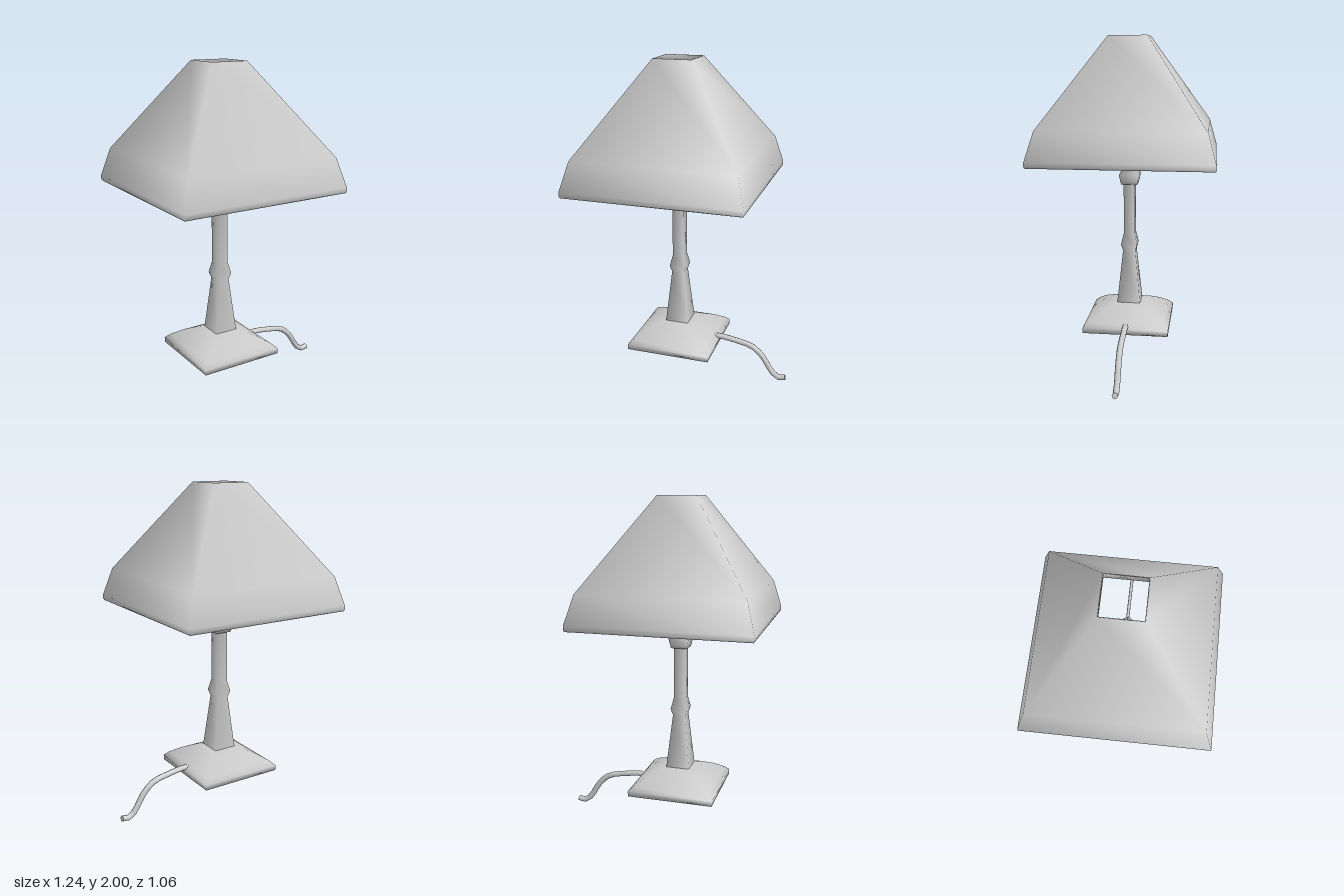
import * as THREE from 'three';

const material = new THREE.MeshStandardMaterial({ color: 0xcccccc });

// Square-section turned part; profile is a list of [half width, height]
function squareLoft(name, profile) {
  const points = profile.map(([w, y]) => new THREE.Vector2(w * Math.SQRT2, y));
  const mesh = new THREE.Mesh(new THREE.LatheGeometry(points, 4, Math.PI / 4), material);
  mesh.name = name;
  return mesh;
}

export function createModel() {
  const model = new THREE.Group();
  model.name = 'tableLamp';

  const lamp = new THREE.Group();
  lamp.name = 'lamp';
  lamp.position.x = -0.092;
  model.add(lamp);

  // Domed square foot
  lamp.add(squareLoft('base', [
    [0, 0.205], [0.262, 0.205], [0.263, 0.238], [0.235, 0.265],
    [0.18, 0.302], [0.12, 0.331], [0.073, 0.346], [0, 0.348],
  ]));

  // Tapered stem with two collars
  lamp.add(squareLoft('stem', [
    [0.073, 0.34], [0.039, 0.68], [0.051, 0.72], [0.035, 0.79], [0.035, 1.1],
    [0.05, 1.104], [0.053, 1.12], [0.062, 1.163], [0.043, 1.2], [0.04, 1.34], [0, 1.34],
  ]));

  // Hollow bulb, twisted as it rises
  const bulb = squareLoft('bulb', [
    [0.03, 1.33], [0.035, 1.4], [0.052, 1.46], [0.058, 1.53], [0.053, 1.59], [0.044, 1.63],
    [0.034, 1.63], [0.035, 1.56], [0, 1.46],
  ]);
  const position = bulb.geometry.attributes.position;
  const v = new THREE.Vector3();
  const up = new THREE.Vector3(0, 1, 0);
  for (let i = 0; i < position.count; i++) {
    v.fromBufferAttribute(position, i);
    v.applyAxisAngle(up, Math.max(0, v.y - 1.46) * 3);
    position.setXYZ(i, v.x, v.y, v.z);
  }
  bulb.geometry.computeVertexNormals();
  lamp.add(bulb);

  // Hollow shade: outside going up, a short upright lip, inside coming back down
  lamp.add(squareLoft('shade', [
    [0.515, 1.268], [0.526, 1.266], [0.531, 1.275], [0.531, 1.3], [0.483, 1.47], [0.116, 2],
    [0.112, 2], [0.112, 1.96], [0.471, 1.463], [0.515, 1.3], [0.515, 1.268],
  ]));

  // Four arms holding the shade
  for (let i = 0; i < 4; i++) {
    const arm = new THREE.Mesh(new THREE.CylinderGeometry(0.009, 0.009, 0.44, 8), material);
    arm.geometry.rotateZ(Math.PI / 2).translate(0.25, 1.3, 0);
    arm.rotation.y = i * Math.PI / 2;
    arm.name = 'shadeArm';
    lamp.add(arm);
  }

  // Power cord trailing off the foot
  const path = new THREE.CatmullRomCurve3([
    [0.1, 0.245], [0.17, 0.251], [0.28, 0.237], [0.39, 0.211], [0.46, 0.15],
    [0.51, 0.07], [0.55, 0.024], [0.58, 0.018], [0.61, 0.025],
  ].map(([x, y]) => new THREE.Vector3(x, y, 0)));
  const cord = new THREE.Mesh(new THREE.TubeGeometry(path, 14, 0.018, 8), material);
  cord.name = 'cord';
  model.add(cord);

  // Closed cord end
  const cordEnd = new THREE.Mesh(new THREE.CircleGeometry(0.018, 8), material);
  cordEnd.position.copy(path.getPoint(1));
  cordEnd.lookAt(path.getPoint(1).add(path.getTangent(1)));
  cordEnd.name = 'cordEnd';
  model.add(cordEnd);

  return model;
}
